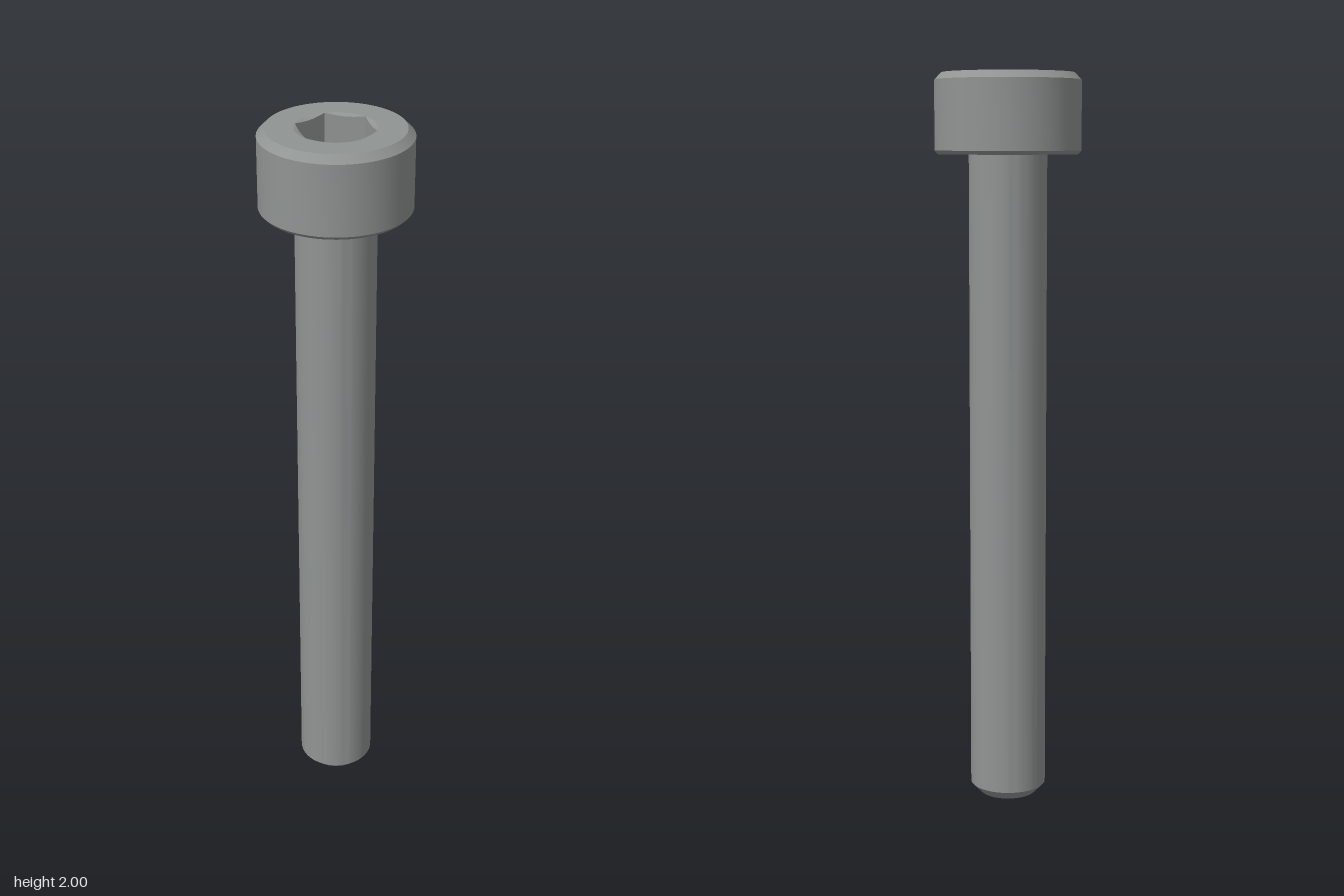
import * as THREE from 'three';
import { toCreasedNormals } from 'three/addons/utils/BufferGeometryUtils.js';

const SEGMENTS = 72;
const SHANK_R = 0.105, HEAD_R = 0.196, HEAD_Y = 1.786, TOP_Y = 2;
const HEX_R = 0.104, SOCKET_FLOOR = 1.9;

const material = new THREE.MeshStandardMaterial({ color: 0x909493 });

function addMesh(group, name, geometry) {
  const mesh = new THREE.Mesh(toCreasedNormals(geometry, 0.4), material);
  mesh.name = name;
  group.add(mesh);
}

function lathe(profile) {
  return new THREE.LatheGeometry(profile.map(([r, y]) => new THREE.Vector2(r, y)), SEGMENTS);
}

// Radius of the hexagon at an angle measured from a corner on +z
function hexRadius(angle) {
  const side = Math.PI / 3;
  const fromCorner = angle - side * Math.floor(angle / side + 1e-9);
  return HEX_R * Math.cos(side / 2) / Math.cos(fromCorner - side / 2);
}

// Rings from the rim inward: countersink circle, its cut into the hex walls, floor outline, floor centre
function socketGeometry() {
  const slope = Math.tan(Math.PI / 9);
  const rings = [
    () => [HEX_R, TOP_Y],
    (a) => [hexRadius(a), TOP_Y - (HEX_R - hexRadius(a)) * slope],
    (a) => [hexRadius(a), SOCKET_FLOOR],
    () => [0, SOCKET_FLOOR],
  ];
  const positions = [], indices = [];
  for (const ring of rings) {
    for (let i = 0; i < SEGMENTS; i++) {
      const a = (i / SEGMENTS) * Math.PI * 2;
      const [r, y] = ring(a);
      positions.push(Math.sin(a) * r, y, Math.cos(a) * r);
    }
  }
  for (let k = 0; k < rings.length - 1; k++) {
    for (let i = 0; i < SEGMENTS; i++) {
      const next = (i + 1) % SEGMENTS;
      const a = k * SEGMENTS + i, b = k * SEGMENTS + next;
      const c = a + SEGMENTS, d = b + SEGMENTS;
      indices.push(a, b, d);
      if (k < rings.length - 2) indices.push(a, d, c);
    }
  }
  const geometry = new THREE.BufferGeometry();
  geometry.setAttribute('position', new THREE.Float32BufferAttribute(positions, 3));
  geometry.setIndex(indices);
  return geometry;
}

export function createModel() {
  const group = new THREE.Group();
  group.name = 'socketHeadScrew';

  // Plain shank with a chamfered tip
  addMesh(group, 'shank', lathe([
    [0, 0], [0.079, 0], [SHANK_R, 0.027], [SHANK_R, HEAD_Y],
  ]));

  // Cylindrical head, chamfered above and slightly below, open over the socket
  addMesh(group, 'head', lathe([
    [SHANK_R, HEAD_Y], [HEAD_R - 0.01, HEAD_Y], [HEAD_R, HEAD_Y + 0.01],
    [HEAD_R, TOP_Y - 0.019], [HEAD_R - 0.019, TOP_Y], [HEX_R, TOP_Y],
  ]));

  // Countersunk hexagonal drive recess
  addMesh(group, 'hexSocket', socketGeometry());

  return group;
}
